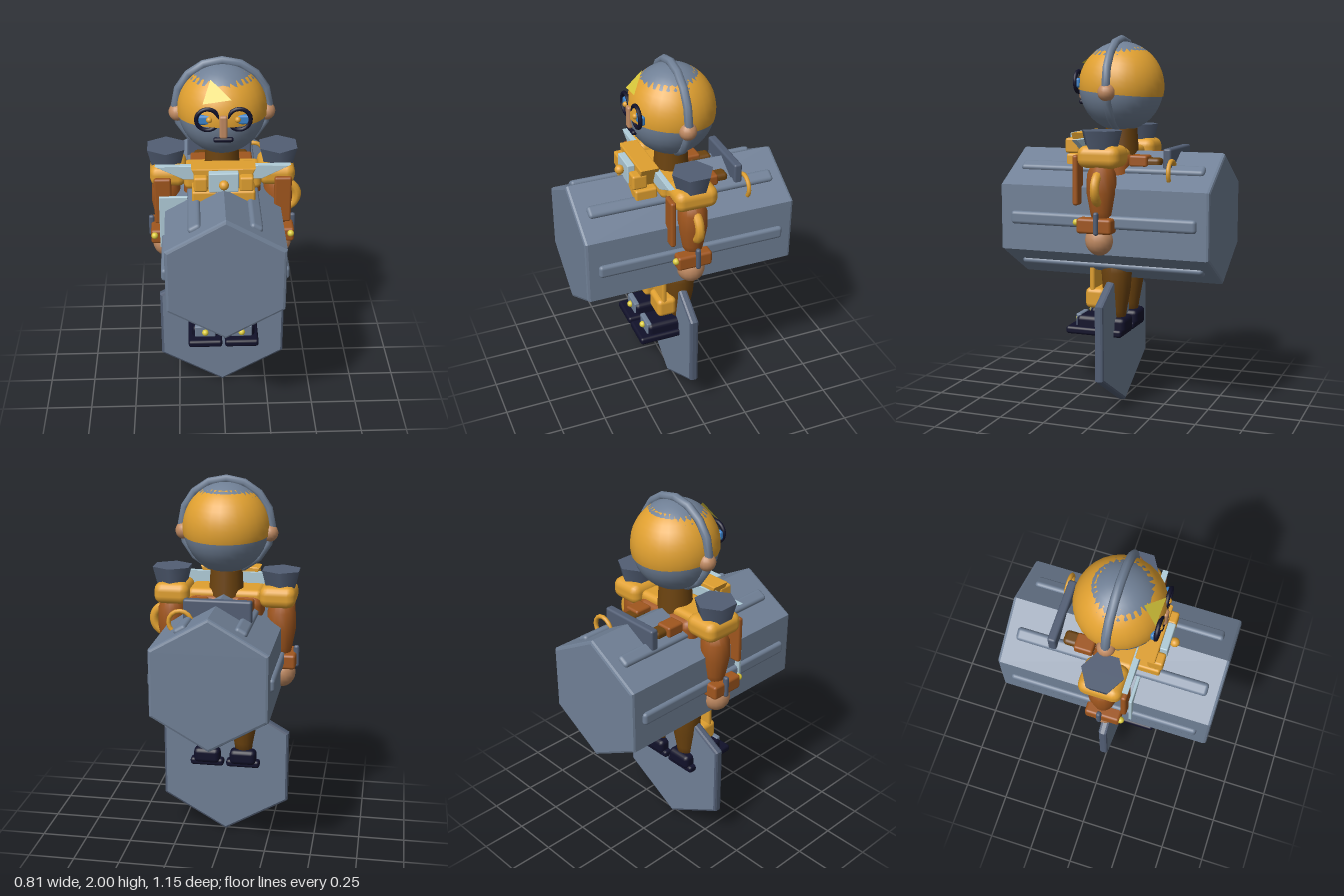
import * as THREE from 'three';
import { RoundedBoxGeometry } from 'three/addons/geometries/RoundedBoxGeometry.js';

const material = (name, color, extra = {}) => {
  const m = new THREE.MeshStandardMaterial({ color, ...extra });
  m.name = name;
  return m;
};

export function createModel() {
  const model = new THREE.Group();
  const orange = material('orange', 0xe0a030);
  const slate = material('slate grey', 0x708096);
  const dark = material('dark slate', 0x525e74);
  const rust = material('rust', 0xa0561e);
  const brown = material('dark brown', 0x6c430f);
  const skin = material('skin', 0xc08a62);
  const navy = material('navy black', 0x11112a);
  const pale = material('pale blue', 0xb0ccd8);
  const blue = material('blue', 0x3c84cc);
  const yellow = material('yellow', 0xdccb3c, { side: THREE.DoubleSide });

  const add = (name, geometry, mat, x = 0, y = 0, z = 0, parent = model) => {
    const mesh = new THREE.Mesh(geometry, mat);
    mesh.name = name;
    mesh.position.set(x, y, z);
    parent.add(mesh);
    return mesh;
  };
  const box = (w, h, d, r = 0.012) =>
    new RoundedBoxGeometry(w, h, d, 2, Math.min(r, w / 2.1, h / 2.1, d / 2.1));
  const ball = (r, w = 16, h = 12) => new THREE.SphereGeometry(r, w, h);
  const shapeOf = (pts) => new THREE.Shape(pts.map(([x, y]) => new THREE.Vector2(x, y)));

  // Solid with chamfered rims, centred on z
  const plate = (pts, depth, bevel) => {
    const geometry = new THREE.ExtrudeGeometry(shapeOf(pts), {
      depth: depth - 2 * bevel, bevelSize: bevel, bevelThickness: bevel, bevelSegments: 2,
    });
    return geometry.translate(0, 0, bevel - depth / 2);
  };
  const hexagon = (r) => Array.from({ length: 6 }, (_, i) => {
    const a = Math.PI / 6 + (i * Math.PI) / 3;
    return [r * Math.cos(a), r * Math.sin(a)];
  });

  // Long hexagonal body with a rail on each face
  add('hexBody', plate(hexagon(0.33), 1.15, 0.015), slate, 0, 1.045, 0);
  for (let i = 0; i < 6; i++) {
    const a = (i * Math.PI) / 3;
    const rail = add('bodyRail', box(0.04, 0.07, 1.02, 0.018), slate,
      0.301 * Math.cos(a), 1.045 + 0.301 * Math.sin(a), 0);
    rail.rotation.z = a;
  }

  // Upright hexagonal plate under the body
  add('basePlate', plate(hexagon(0.386), 0.05, 0.014), dark, 0, 0.402, 0).material = [slate, dark];

  // Head, cap and headband
  const head = new THREE.Group();
  head.name = 'head';
  head.position.set(0, 1.73, 0);
  model.add(head);
  add('face', ball(0.225, 28, 20), slate, 0, 0, 0, head).scale.y = 1.05;
  const cap = add('cap', new THREE.SphereGeometry(0.229, 28, 12, 0, Math.PI * 2, 0, Math.PI * 0.545),
    orange, 0, 0, 0, head);
  cap.scale.y = 1.02;
  cap.rotation.x = -0.09;
  add('headband', new THREE.TorusGeometry(0.236, 0.023, 8, 16), slate, 0, 0.011, 0, head);

  // Forehead triangle resting just above the cap
  const patch = new THREE.BufferGeometry().setFromPoints(
    [[-0.06, 0.2, 0.13], [-0.1, 0.1, 0.2], [0.04, 0.125, 0.21]].map((p) =>
      new THREE.Vector3(...p).setLength(0.247)));
  patch.computeVertexNormals();
  add('foreheadPatch', patch, yellow, 0, 0, 0, head);

  // Facial details
  for (const s of [1, -1]) {
    add('ear', ball(0.046), skin, s * 0.225, -0.025, 0, head);
    add('eyeRing', new THREE.TorusGeometry(0.055, 0.011, 8, 20), navy, s * 0.078, 0.025, 0.213, head);
    add('eye', box(0.1, 0.05, 0.03), blue, s * 0.085, 0.02, 0.2, head);
    add('pupil', ball(0.015), orange, s * 0.07, 0.025, 0.217, head);
  }
  add('nose', box(0.04, 0.12, 0.035), skin, 0, -0.01, 0.22, head);
  add('mouth', box(0.1, 0.025, 0.03), navy, 0, -0.083, 0.212, head);

  // Torso and neck
  add('torso', box(0.4, 0.5, 0.2, 0.05), rust, 0, 1.13, 0);
  add('upperChest', box(0.4, 0.09, 0.2, 0.03), orange, 0, 1.365, 0.03);
  add('neck', new THREE.CylinderGeometry(0.085, 0.095, 0.16, 16), brown, 0, 1.43, 0);

  // Chest armour
  add('collarStrip', plate([[-0.34, 1.465], [-0.2, 1.395], [0.2, 1.395], [0.34, 1.465]], 0.03, 0.004),
    pale, 0, 0, 0.13);
  add('chestPlate', plate([[-0.155, 1.485], [-0.11, 1.385], [0.11, 1.385], [0.155, 1.485]], 0.1, 0.006),
    orange, 0, 0, 0.175);
  add('chestPanel', box(0.15, 0.105, 0.04, 0.006), pale, 0, 1.432, 0.246);
  add('chestKnob', ball(0.025), orange, 0, 1.43, 0.284);
  for (const s of [1, -1]) {
    add('chestLobe', box(0.07, 0.08, 0.08), orange, s * 0.115, 1.42, 0.225);
  }
  add('chestBelt', box(0.32, 0.065, 0.12), orange, 0, 1.345, 0.195);

  // Arms, mirrored
  const armOutline = [[0, 1.02], [0.045, 1.03], [0.06, 1.1], [0.078, 1.2], [0.075, 1.29], [0.05, 1.35], [0, 1.36]]
    .map(([r, y]) => new THREE.Vector2(r, y));
  for (const s of [1, -1]) {
    add('shoulder', box(0.19, 0.115, 0.23, 0.045), orange, s * 0.28, 1.382, 0);
    add('shoulderPad', new THREE.CylinderGeometry(0.11, 0.085, 0.095, 6), dark, s * 0.29, 1.468, 0)
      .material = dark;
    add('arm', new THREE.LatheGeometry(armOutline, 16), rust, s * 0.295, 0, 0);
    add('armGuard', box(0.09, 0.26, 0.03), rust, s * 0.31, 1.26, 0.125);
    add('cuff', box(0.13, 0.08, 0.19, 0.015), rust, s * 0.315, 1.03, 0.015);
    add('hand', ball(0.075), skin, s * 0.3, 0.95, 0.01).scale.y = 1.08;
    add('wristFin', box(0.03, 0.12, 0.026), dark, s * 0.378, 1.045, 0);
    add('wristStud', ball(0.018), yellow, s * 0.36, 1.045, 0.115);
  }
  const armLoop = add('armLoop', new THREE.TorusGeometry(0.075, 0.025, 8, 16, Math.PI), orange, 0.32, 1.22, 0);
  armLoop.rotation.z = -Math.PI / 2;
  add('forearmBoard', box(0.15, 0.3, 0.018, 0.005), pale, -0.255, 1.15, 0.155);

  // Back equipment
  add('backBar', box(0.35, 0.13, 0.045), dark, -0.005, 1.355, -0.31);
  add('backHandle', new THREE.TorusGeometry(0.06, 0.012, 8, 16), orange, 0.182, 1.3, -0.34);
  for (const s of [1, -1]) {
    add('backStrap', box(0.09, 0.06, 0.1), rust, s * 0.12, 1.35, -0.15);
    add('backPouch', box(0.075, 0.05, 0.13, 0.02), brown, s * 0.108, 1.342, -0.2);
  }

  // Legs and shoes, mirrored
  const legOutline = [[0, 0.46], [0.045, 0.47], [0.055, 0.54], [0.075, 0.65], [0.082, 0.75], [0.078, 0.88], [0, 0.9]]
    .map(([r, y]) => new THREE.Vector2(r, y));
  for (const s of [1, -1]) {
    add('leg', new THREE.LatheGeometry(legOutline, 16), brown, s * 0.1, 0, -0.01);
    add('thighGuard', box(0.145, 0.17, 0.028), orange, s * 0.1, 0.715, 0.105);
    add('kneeGuard', box(0.145, 0.11, 0.11, 0.025), orange, s * 0.105, 0.605, 0.09);
    add('shoeSole', box(0.185, 0.042, 0.32, 0.015), navy, s * 0.1, 0.423, 0.092);
    add('shoe', box(0.145, 0.085, 0.28, 0.025), navy, s * 0.1, 0.462, 0.06);
    add('toePlate', box(0.115, 0.07, 0.03, 0.008), slate, s * 0.1, 0.475, 0.19);
    add('toeStud', ball(0.018), yellow, s * 0.1, 0.475, 0.21);
  }
  return model;
}
